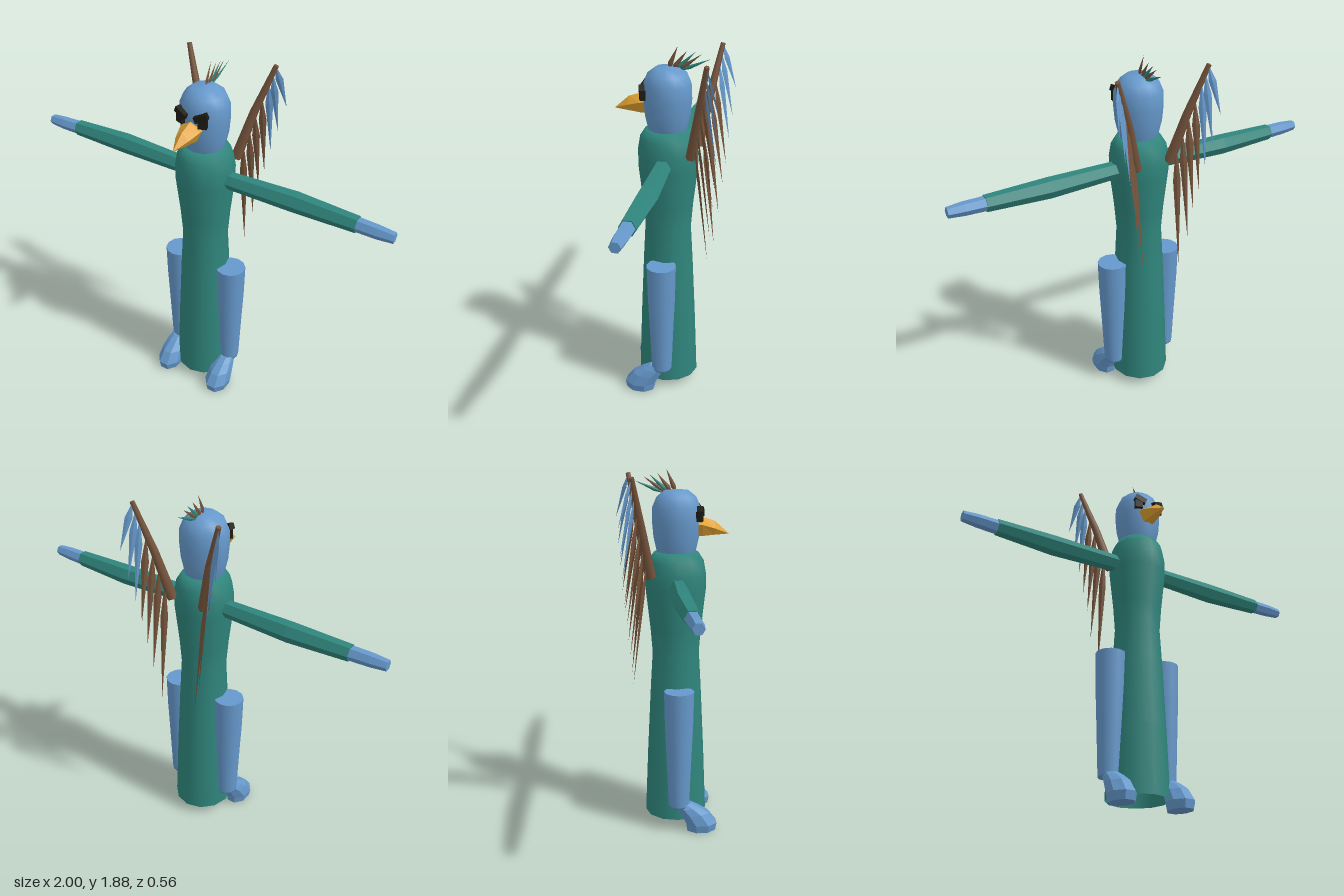
import * as THREE from 'three';
import { ConvexGeometry } from 'three/addons/geometries/ConvexGeometry.js';

const V = (x, y, z) => new THREE.Vector3(x, y, z);

const paint = (name, color, extra = {}) => {
  const m = new THREE.MeshStandardMaterial({ color, ...extra });
  m.name = name;
  return m;
};

// Flat-shaded skin over equal-sized rings of points, capped at both ends
function loft(rings, flip = false) {
  const pos = [];
  const tri = (a, b, c) => {
    for (const p of flip ? [a, c, b] : [a, b, c]) pos.push(p.x, p.y, p.z);
  };
  const n = rings[0].length;
  for (let i = 0; i < rings.length - 1; i++) {
    for (let j = 0; j < n; j++) {
      const k = (j + 1) % n;
      const a = rings[i][j], b = rings[i][k], c = rings[i + 1][k], d = rings[i + 1][j];
      tri(a, b, c);
      tri(a, c, d);
    }
  }
  const first = rings[0], last = rings[rings.length - 1];
  for (let j = 1; j < n - 1; j++) {
    tri(first[0], first[j + 1], first[j]);
    tri(last[0], last[j], last[j + 1]);
  }
  const g = new THREE.BufferGeometry();
  g.setAttribute('position', new THREE.Float32BufferAttribute(pos, 3));
  g.computeVertexNormals();
  return g;
}

// Smooth turned shape from [radius, height] pairs
const turned = (points, sides) =>
  new THREE.LatheGeometry(points.map(([r, y]) => new THREE.Vector2(r, y)), sides);

// Long thin diamond running from base to tip
function feather(base, tip, across, width, thick) {
  const along = tip.clone().sub(base).normalize();
  const normal = along.clone().cross(across).normalize();
  const mid = base.clone().lerp(tip, 0.3);
  const off = (dir, d) => mid.clone().addScaledVector(dir, d);
  return new ConvexGeometry([base, tip, off(across, width), off(across, -width),
    off(normal, thick), off(normal, -thick)]);
}

// Tapered round bar between two points
function bar(a, b, ra, rb, sides) {
  const dir = b.clone().sub(a);
  const g = new THREE.CylinderGeometry(rb, ra, dir.length(), sides);
  g.applyQuaternion(new THREE.Quaternion().setFromUnitVectors(V(0, 1, 0), dir.normalize()));
  const c = a.clone().lerp(b, 0.5);
  return g.translate(c.x, c.y, c.z);
}

export function createModel() {
  const group = new THREE.Group();
  const blue = paint('blue skin', 0x6699cc);
  const teal = paint('teal cloth', 0x2f857c, { side: THREE.DoubleSide });
  const brown = paint('brown feather', 0x76543c);
  const gold = paint('golden beak', 0xe0a233);
  const black = paint('dark eye', 0x1c1a10);
  const add = (name, geometry, material) => {
    const mesh = new THREE.Mesh(geometry, material);
    mesh.name = name;
    group.add(mesh);
    return mesh;
  };

  // Robe, open at the hem
  const robe = turned([[0.156, 0.05], [0.143, 0.4], [0.127, 0.75], [0.116, 0.95], [0.126, 1.08],
    [0.148, 1.28], [0.148, 1.36], [0.136, 1.43], [0.108, 1.475], [0, 1.48]], 12);
  robe.scale(1, 1, 1.05).translate(0, 0, 0.018);
  add('robe', robe, teal);

  // Head
  const head = turned([[0.085, 1.44], [0.1, 1.48], [0.116, 1.55], [0.123, 1.63], [0.121, 1.7],
    [0.1, 1.75], [0.06, 1.782], [0, 1.787]], 12);
  add('head', head.translate(0, 0, 0.02), blue);

  // Hooked beak: [z, top, side height, bottom, half width]
  const beakRings = [[0.1, 1.655, 1.617, 1.555, 0.056], [0.15, 1.65, 1.612, 1.555, 0.055],
    [0.215, 1.628, 1.592, 1.56, 0.036], [0.285, 1.567, 1.565, 1.563, 0.002]]
    .map(([z, top, mid, low, w]) => [V(0, top, z), V(-w, mid, z), V(-w * 0.5, low, z),
      V(w * 0.5, low, z), V(w, mid, z)]);
  add('beak', loft(beakRings), gold);

  // Crest: [base z, tip z, tip y]
  [[0.02, -0.03, 1.885, brown], [0, -0.075, 1.865, brown], [-0.015, -0.115, 1.86, teal],
    [-0.025, -0.145, 1.85, brown], [-0.035, -0.19, 1.83, teal]].forEach(([bz, tz, ty, mat]) =>
    add('crestFeather', feather(V(0, 1.765, bz), V(0, ty, tz), V(0, 0.5, 0.87), 0.013, 0.004), mat));

  for (const s of [1, -1]) {
    const side = s > 0 ? 'left' : 'right';

    // Brow and eye
    const brow = add(side + 'Brow', new THREE.BoxGeometry(0.066, 0.03, 0.03), black);
    brow.position.set(s * 0.054, 1.683, 0.137);
    brow.rotation.set(0, s * 0.25, s * 0.4);
    const eye = add(side + 'Eye', new THREE.BoxGeometry(0.042, 0.05, 0.03), black);
    eye.position.set(s * 0.06, 1.655, 0.131);
    eye.rotation.y = s * 0.35;

    // Six-sided sleeve and hand: [x, radius, z]
    const limb = (sections) => loft(sections.map(([x, r, z]) =>
      Array.from({ length: 6 }, (_, i) => {
        const a = (i * Math.PI) / 3;
        return V(s * x, 1.312 + r * Math.sin(a), z + r * Math.cos(a));
      })), s > 0);
    add(side + 'Sleeve', limb([[0.1, 0.043, 0.018], [0.16, 0.045, 0.018], [0.5, 0.052, 0.008],
      [0.82, 0.041, 0.014]]), teal);
    add(side + 'Hand', limb([[0.815, 0.036, 0.014], [0.92, 0.034, 0.017], [1, 0.027, 0.018]]), blue);

    // Leg
    const leg = turned([[0, 0.13], [0.054, 0.14], [0.055, 0.15], [0.066, 0.42], [0.074, 0.6],
      [0.078, 0.778]], 12);
    add(side + 'Leg', leg.translate(s * 0.16, 0, 0.021), blue);
    const top = new THREE.CircleGeometry(0.078, 12).rotateX(-Math.PI / 2);
    add(side + 'LegTop', top.translate(s * 0.16, 0.778, 0.021), blue);

    // Foot in level slices: [y, back z, front z, half width]
    const foot = [[0, 0.065, 0.214, 0.055], [0.042, 0.06, 0.221, 0.063], [0.1, 0.028, 0.178, 0.055],
      [0.135, 0.008, 0.125, 0.046], [0.157, -0.002, 0.085, 0.036]]
      .map(([y, back, front, w]) => Array.from({ length: 8 }, (_, i) => {
        const a = ((i + 0.5) * Math.PI) / 4;
        return V(s * 0.163 + 1.08 * w * Math.cos(a), y,
          (back + front) / 2 + 1.08 * ((front - back) / 2) * Math.sin(a));
      }));
    add(side + 'Foot', loft(foot, true), blue);

    // Wing bones
    const root = V(s * 0.095, 1.36, -0.118);
    const joint = V(s * 0.16, 1.61, -0.165);
    const end = V(s * 0.243, 1.855, -0.212);
    add(side + 'WingInnerBone', bar(root, joint, 0.028, 0.021, 6), brown);
    add(side + 'WingOuterBone', bar(joint, end, 0.021, 0.012, 6), brown);

    // Hanging feathers: [position along the wing, tip x, y, z]
    const across = V(s * 0.83, 0, -0.55).normalize();
    [[0.99, 0.275, 1.62, -0.28, blue], [0.92, 0.24, 1.48, -0.272, blue],
      [0.83, 0.21, 1.36, -0.262, blue], [0.68, 0.185, 1.24, -0.252, brown],
      [0.52, 0.162, 1.13, -0.241, brown], [0.36, 0.145, 0.965, -0.226, brown],
      [0.2, 0.105, 0.805, -0.21, brown]].forEach(([t, x, y, z, mat]) => {
      const base = t > 0.5 ? joint.clone().lerp(end, t * 2 - 1) : root.clone().lerp(joint, t * 2);
      add(side + 'WingFeather', feather(base, V(s * x, y, z), across, 0.019, 0.006), mat);
    });
  }
  return group;
}
